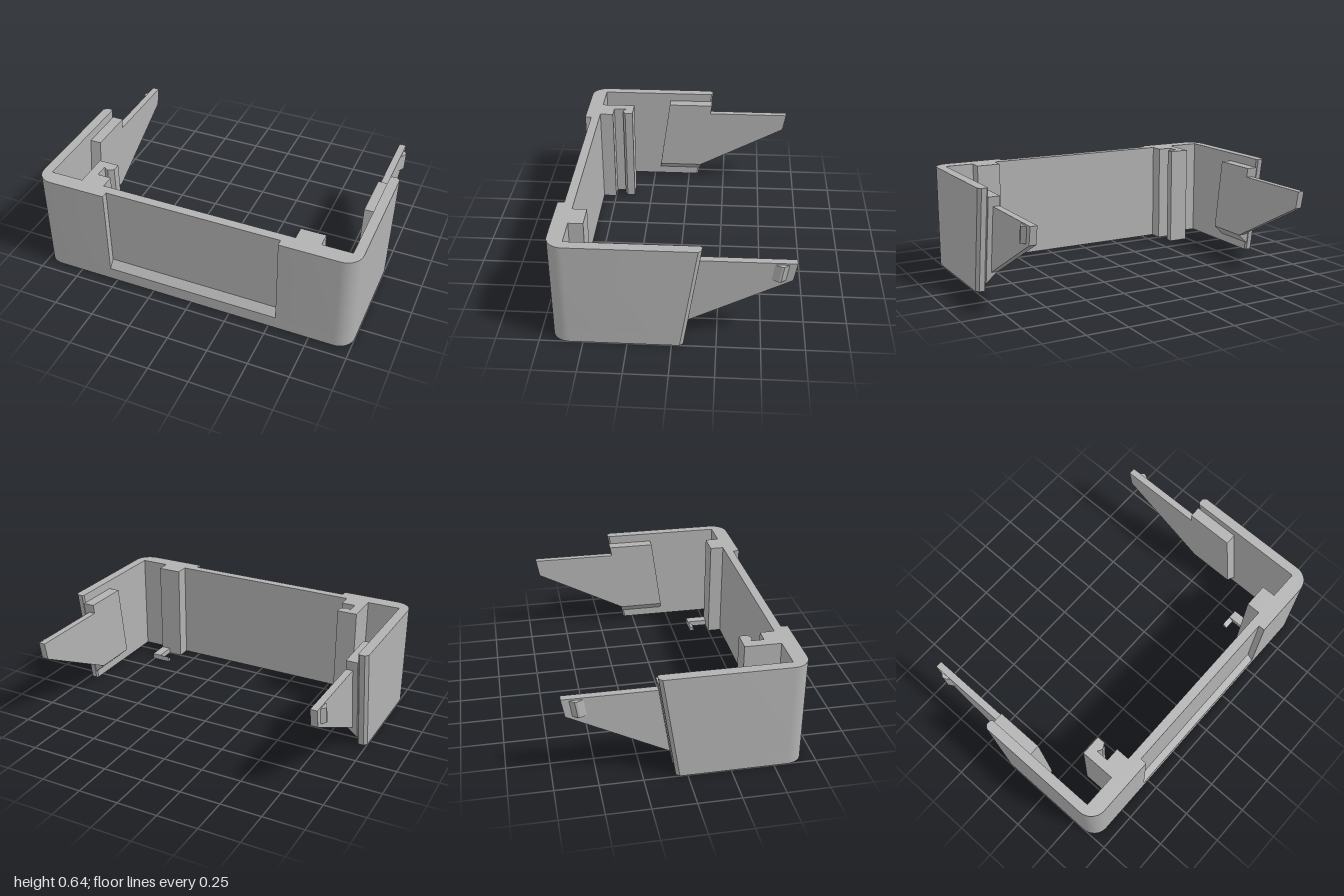
import * as THREE from 'three';
import { toCreasedNormals } from 'three/addons/utils/BufferGeometryUtils.js';

const H = 0.64;        // overall height
const LEAN = 0.156;    // backward lean of the slanted rear edges

// Move every vertex by a rule
function warp(geometry, rule) {
  const p = geometry.attributes.position;
  const v = new THREE.Vector3();
  for (let i = 0; i < p.count; i++) {
    rule(v.fromBufferAttribute(p, i));
    p.setXYZ(i, v.x, v.y, v.z);
  }
  return toCreasedNormals(geometry, 0.5);
}

const shapeOf = (pts) => new THREE.Shape(pts.map(([a, b]) => new THREE.Vector2(a, b)));
const extrude = (shape, depth) =>
  new THREE.ExtrudeGeometry(shape, { depth, bevelEnabled: false, curveSegments: 12 });

// Plan outline [x, z] raised from y0 to y1
function planPrism(pts, y0, y1, rule = () => {}) {
  const g = extrude(shapeOf(pts.map(([x, z]) => [x, -z])), y1 - y0);
  g.rotateX(-Math.PI / 2).translate(0, y0, 0);
  return warp(g, rule);
}

// Side outline [z, y] extended from x0 to x1
function sidePrism(pts, x0, x1, rule = () => {}) {
  const g = extrude(shapeOf(pts.map(([z, y]) => [-z, y])), x1 - x0);
  g.rotateY(Math.PI / 2).translate(x0, 0, 0);
  return warp(g, rule);
}

// U-shaped plan with rounded front corners, chamfered ends and optional front recess
function shellOutline(recessed) {
  const pts = [];
  const r = 0.1, steps = 10;
  for (const s of [-1, 1]) {
    const half = [
      [0.94, 0.585], [0.94, -0.055], [0.95, -0.065], [0.982, -0.065], [1, -0.045],
    ];
    for (let i = 0; i <= steps; i++) {
      const a = (i / steps) * Math.PI / 2;
      half.push([1 - r + r * Math.cos(a), 0.68 - r + r * Math.sin(a)]);
    }
    if (recessed) half.push([0.543, 0.68], [0.543, 0.64]);
    if (s > 0) half.reverse();
    pts.push(...half.map(([x, z]) => [s * x, z]));
  }
  return pts;
}

export function createModel() {
  const group = new THREE.Group();
  group.name = 'bracketCover';
  const grey = new THREE.MeshStandardMaterial({ color: 0xb2b2b2 });
  grey.name = 'grey plastic';

  const add = (name, geometry) => {
    const mesh = new THREE.Mesh(geometry, grey);
    mesh.name = name;
    group.add(mesh);
  };

  // Shell: plain band at the foot, recessed front above it
  const leanEnds = (v) => { if (v.z < 0) v.z -= LEAN * v.y; };
  add('shellFoot', planPrism(shellOutline(false), 0, 0.08, leanEnds));
  add('shellWalls', planPrism(shellOutline(true), 0.08, H, leanEnds));
  add('recessSill', sidePrism([[0.68, 0.08], [0.64, 0.125], [0.64, 0.08]], -0.543, 0.543));

  // Snap arms on both sides
  for (const s of [-1, 1]) {
    const side = s > 0 ? 'left' : 'right';
    const span = (a, b) => (s > 0 ? [a, b] : [-b, -a]);

    // Thick root whose underside slopes down to the wall
    add(side + 'ArmRoot', sidePrism(
      [[0.135, 0.585], [-0.16, 0.585], [-0.076, 0.05], [0.212, 0.05]],
      ...span(0.87, 0.942),
      (v) => {
        if (v.y < 0.1 && Math.abs(v.x) < 0.9) { v.y += 0.065; v.z -= 0.01; }
      }));

    // Thin tapering arm
    add(side + 'Arm', sidePrism(
      [[-0.15, 0.525], [-0.68, 0.525], [-0.66, 0.415], [-0.086, 0.115]],
      ...span(0.87, 0.912)));

    // Catch on the outside of the tip
    add(side + 'ArmCatch', planPrism(
      [[0.905, -0.62], [0.912, -0.62], [0.934, -0.592], [0.934, -0.58], [0.912, -0.542], [0.905, -0.542]]
        .map(([x, z]) => [s * x, z]),
      0.415, 0.515, (v) => { v.z -= LEAN * (v.y - 0.415); }));
  }

  // Right clip: full-height channel with a hooked lip
  add('rightClip', planPrism([
    [-0.735, 0.59], [-0.735, 0.37], [-0.61, 0.37], [-0.61, 0.42], [-0.628, 0.43],
    [-0.645, 0.438], [-0.66, 0.432], [-0.675, 0.42], [-0.675, 0.5], [-0.59, 0.5], [-0.59, 0.59],
  ], 0, H));

  // Left clip: full-height rib with a small hook at the foot
  add('leftClipRib', planPrism([[0.61, 0.59], [0.61, 0.5], [0.76, 0.5], [0.76, 0.59]], 0, H));
  add('leftClipFinger', planPrism([[0.70, 0.51], [0.70, 0.37], [0.76, 0.37], [0.76, 0.51]], 0, 0.035));
  add('leftClipHook', sidePrism([[0.37, 0], [0.40, 0], [0.40, 0.008], [0.37, 0.035]], 0.635, 0.70));

  return group;
}
